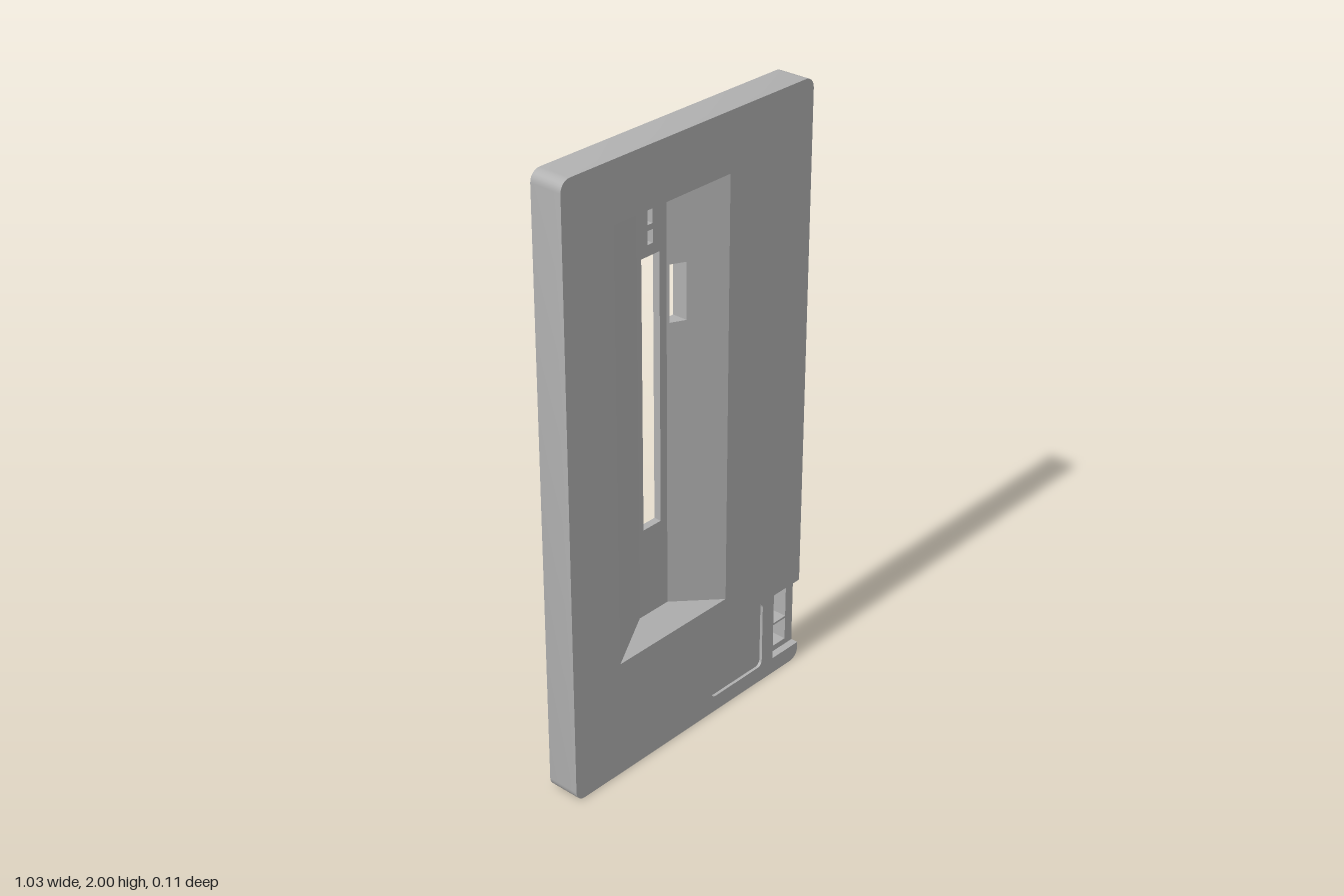
import * as THREE from 'three';
import { mergeGeometries, toCreasedNormals } from 'three/addons/utils/BufferGeometryUtils.js';

const FRONT = 0.055, BACK = -0.055, LEDGE = 0.03, FLOOR = -0.03, PANEL = 0.045;
const V = (x, y) => new THREE.Vector2(x, y);
const grey = new THREE.MeshStandardMaterial({ color: 0xb0b0b0 });
grey.name = 'grey';

// Counter-clockwise loops
const rect = (x0, x1, y0, y1) => [V(x0, y0), V(x1, y0), V(x1, y1), V(x0, y1)];
function arc(cx, cy, r, from, to, steps) {
  const pts = [];
  for (let i = 0; i <= steps; i++) {
    const a = from + ((to - from) * i) / steps;
    pts.push(V(cx + r * Math.cos(a), cy + r * Math.sin(a)));
  }
  return pts;
}
// Rounded rectangle; the extra points go into the right edge
function rounded(x0, x1, y0, y1, r, rightEdge = []) {
  const q = Math.PI / 2;
  return [
    ...arc(x0 + r, y0 + r, r, 2 * q, 3 * q, 6),
    ...arc(x1 - r, y0 + r, r, 3 * q, 4 * q, 6),
    ...rightEdge,
    ...arc(x1 - r, y1 - r, r, 0, q, 6),
    ...arc(x0 + r, y1 - r, r, q, 2 * q, 6),
  ];
}

// Flat or sloping sheet with holes; z is a height or a rule of (x, y)
function sheet(loop, z, holes = [], faceBack = false) {
  const shape = new THREE.Shape(loop);
  for (const h of holes) shape.holes.push(new THREE.Path([...h].reverse()));
  const g = new THREE.ShapeGeometry(shape);
  const p = g.attributes.position;
  for (let i = 0; i < p.count; i++) {
    p.setZ(i, typeof z === 'function' ? z(p.getX(i), p.getY(i)) : z);
  }
  if (faceBack) g.index.array.reverse();
  g.deleteAttribute('uv');
  g.deleteAttribute('normal');
  return g.toNonIndexed();
}

// Walls along a loop between two heights, facing outward or inward
function walls(loop, z0, z1, inward = false) {
  const pts = inward ? [...loop].reverse() : loop;
  const top = typeof z1 === 'function' ? z1 : () => z1;
  const out = [];
  pts.forEach((a, i) => {
    const b = pts[(i + 1) % pts.length];
    const A = [a.x, a.y, z0], B = [b.x, b.y, z0];
    const C = [b.x, b.y, top(b.x, b.y)], D = [a.x, a.y, top(a.x, a.y)];
    out.push(...A, ...B, ...C, ...A, ...C, ...D);
  });
  const g = new THREE.BufferGeometry();
  g.setAttribute('position', new THREE.Float32BufferAttribute(out, 3));
  return g;
}

export function createModel() {
  const group = new THREE.Group();
  const add = (name, parts) => {
    const mesh = new THREE.Mesh(toCreasedNormals(mergeGeometries(parts), 0.4), grey);
    mesh.name = name;
    group.add(mesh);
  };

  // Outlines
  const outline = rounded(-0.515, 0.515, 0, 2, 0.035);
  const notched = rounded(-0.515, 0.515, 0, 2, 0.035,
    [V(0.515, 0.056), V(0.39, 0.056), V(0.39, 0.297), V(0.515, 0.297)]);
  const panel = rounded(0.092, 0.336, 0.056, 0.297, 0.02);
  const X = [-0.318, -0.142, -0.018, 0.155], Y = [0.398, 0.435, 1.777, 1.812];
  const mouth = rect(X[0], X[3], Y[0], Y[3]);

  // Openings that run through to the back
  const floorSlots = [
    rect(-0.122, -0.047, 0.737, 1.618),
    rect(-0.095, -0.074, 1.713, 1.759),
    rect(-0.095, -0.074, 1.653, 1.695),
  ];
  const sideSlot = rect(-0.01, 0.037, 1.382, 1.565);
  const ports = [rect(0.41, 0.48, 0.164, 0.279), rect(0.41, 0.48, 0.077, 0.157)];
  const screws = [];
  for (const x of [-0.3, 0.3]) {
    for (const y of [0.067, 1.933]) screws.push(arc(x, y, 0.016, 0, Math.PI * 2, 20).slice(0, -1));
  }

  // Plate body
  add('plateBody', [
    walls(outline, BACK, LEDGE),
    walls(notched, LEDGE, FRONT),
    sheet(notched, FRONT, [mouth, panel]),
    sheet(outline, BACK, [...floorSlots, sideSlot, ...ports, ...screws], true),
  ]);

  // Tapered recess: floor, two long slopes and two steep ends
  const ramp = (a, b) => (t) => FRONT + ((FLOOR - FRONT) * (t - a)) / (b - a);
  const leftRamp = ramp(X[0], X[1]), rightRamp = ramp(X[3], X[2]);
  const lowRamp = ramp(Y[0], Y[1]), highRamp = ramp(Y[3], Y[2]);
  add('recess', [
    sheet(rect(X[1], X[2], Y[1], Y[2]), FLOOR, floorSlots),
    sheet([V(X[0], Y[0]), V(X[1], Y[1]), V(X[1], Y[2]), V(X[0], Y[3])], (x) => leftRamp(x)),
    sheet([V(X[2], Y[1]), V(X[3], Y[0]), V(X[3], Y[3]), V(X[2], Y[2])], (x) => rightRamp(x), [sideSlot]),
    sheet([V(X[0], Y[0]), V(X[3], Y[0]), V(X[2], Y[1]), V(X[1], Y[1])], (x, y) => lowRamp(y)),
    sheet([V(X[1], Y[2]), V(X[2], Y[2]), V(X[3], Y[3]), V(X[0], Y[3])], (x, y) => highRamp(y)),
  ]);
  add('slotWalls', [
    ...floorSlots.map((s) => walls(s, BACK, FLOOR, true)),
    walls(sideSlot, BACK, (x) => rightRamp(x), true),
  ]);

  // Shallow square panel
  add('panelInset', [sheet(panel, PANEL), walls(panel, PANEL, FRONT, true)]);

  // Corner pocket with two ports, open to the side
  add('portPocket', [
    sheet(rect(0.39, 0.515, 0.056, 0.297), LEDGE, ports),
    ...ports.map((s) => walls(s, BACK, LEDGE, true)),
  ]);

  // Blind screw holes in the back
  add('screwHoles', screws.flatMap((s) => [
    walls(s, BACK, -0.015, true),
    sheet(s, -0.015, [], true),
  ]));

  return group;
}
